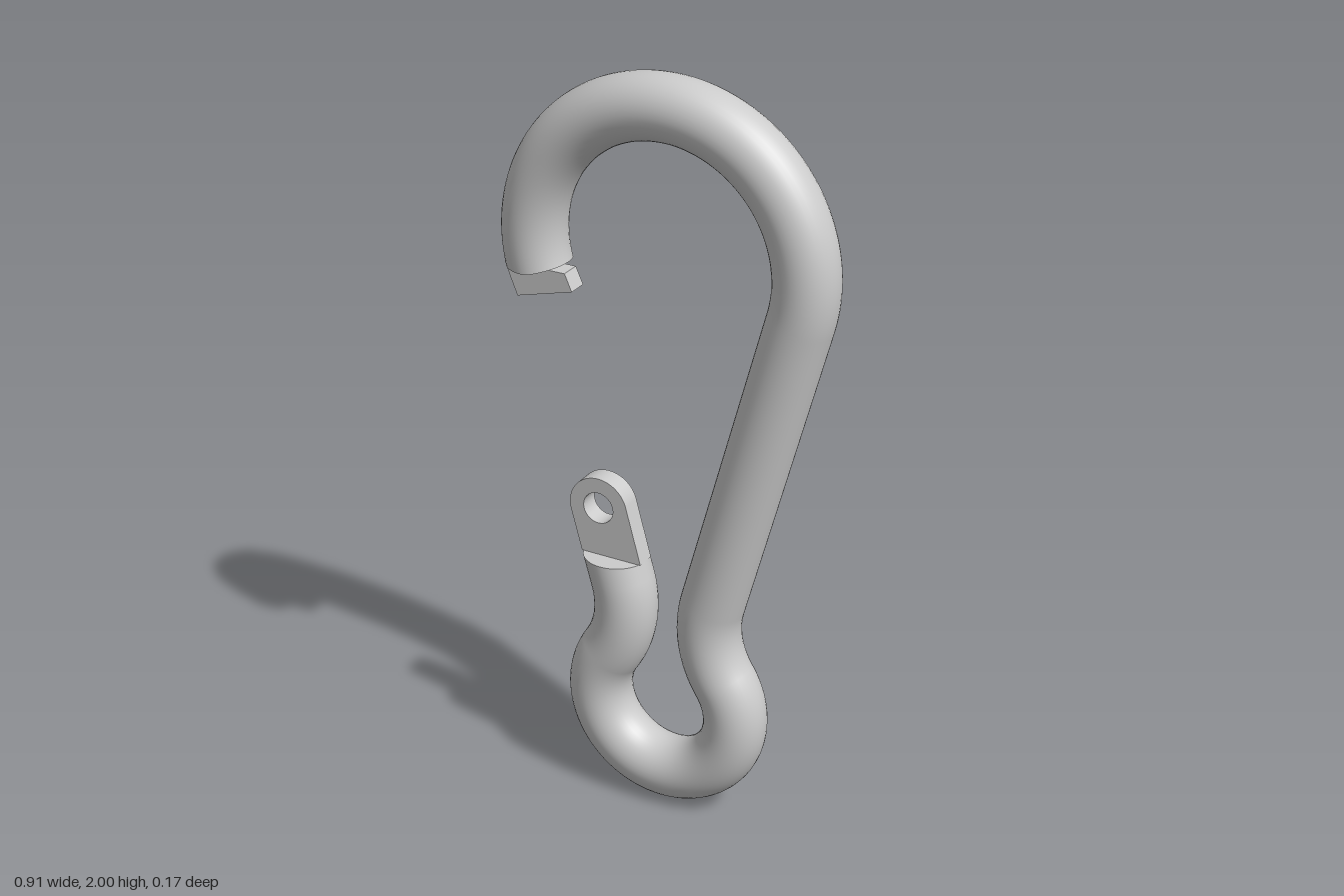
import * as THREE from 'three';

const R = 0.0835;            // rod radius
const PLATE = 0.055;         // thickness of the flattened ends
const rad = THREE.MathUtils.degToRad;
const TILT = rad(15);
const SIN = Math.sin(TILT), COS = Math.cos(TILT);
const HOOK_CUT = 1.45, EYE_CUT = 0.685;   // heights of the flat shoulders

const hookEnd = new THREE.Vector2(-0.359, HOOK_CUT);
const eyeCentre = new THREE.Vector2(-0.187, 0.82);

// Lifts a planar path into 3D for sweeping
class FlatCurve extends THREE.Curve {
  constructor(path) { super(); this.path = path; this.arcLengthDivisions = 1000; }
  getPoint(t, target = new THREE.Vector3()) {
    const p = this.path.getPoint(t);
    return target.set(p.x, p.y, 0);
  }
}

// Centre line: hook, slanted shank, neck, bottom loop, neck, eye leg
function rodPath() {
  const p = new THREE.Path();
  p.moveTo(hookEnd.x + SIN * 0.03, hookEnd.y - COS * 0.03);
  p.absarc(0, 1.545, 0.372, rad(195), rad(-15), true);
  p.absarc(0.394, 0.545, 0.272, rad(165), rad(213.4), false);
  p.absarc(0, 0.285, 0.2, rad(33.4), rad(146.6), true);
  p.absarc(-0.394, 0.545, 0.272, rad(-33.4), rad(15), false);
  const past = EYE_CUT + 0.03;
  p.lineTo(eyeCentre.x - (past - eyeCentre.y) * SIN / COS, past);
  return p;
}

// Sweep the rod, then slide its ends along their axes onto the level shoulders
function rodGeometry() {
  const g = new THREE.TubeGeometry(new FlatCurve(rodPath()), 360, R, 36, false);
  const pos = g.attributes.position;
  for (let i = 0; i < pos.count; i++) {
    const x = pos.getX(i), y = pos.getY(i);
    if (x > 0) continue;
    const cut = y > 1 ? HOOK_CUT : EYE_CUT;
    const beyond = y > 1 ? y < cut : y > cut;
    if (beyond) pos.setXY(i, x - (cut - y) * SIN / COS, cut);
  }
  return g;
}

function plateGeometry(shape) {
  const g = new THREE.ExtrudeGeometry(shape, { depth: PLATE, bevelEnabled: false, curveSegments: 32 });
  return g.translate(0, 0, -PLATE / 2);
}

// Rounded lug with a through hole
function eyeShape() {
  const s = new THREE.Shape();
  const { x, y } = eyeCentre;
  const foot = side => {
    const ex = x + side * R * COS, ey = y + side * R * SIN;
    return [ex + (ey - EYE_CUT) * SIN / COS, EYE_CUT];
  };
  s.moveTo(...foot(-1));
  s.lineTo(...foot(1));
  s.absarc(x, y, R, TILT, TILT + Math.PI, false);
  s.closePath();
  const hole = new THREE.Path();
  hole.absarc(x, y, 0.043, 0, Math.PI * 2, true);
  s.holes.push(hole);
  return s;
}

// Short tongue ending square to the rod
function tongueShape() {
  return new THREE.Shape([
    [-0.446, HOOK_CUT], [-0.432, 1.412], [-0.412, 1.363], [-0.254, 1.405], [-0.274, HOOK_CUT],
  ].map(([x, y]) => new THREE.Vector2(x, y)));
}

export function createModel() {
  const group = new THREE.Group();
  group.name = 'snapHookBody';
  const material = new THREE.MeshStandardMaterial({ color: 0xcccccc });
  const add = (name, geometry) => {
    const mesh = new THREE.Mesh(geometry, material);
    mesh.name = name;
    group.add(mesh);
    return mesh;
  };

  add('bentRod', rodGeometry());
  add('eyeLug', plateGeometry(eyeShape()));
  add('hookTongue', plateGeometry(tongueShape()));

  // Level shoulders closing both rod ends
  const shoulder = (name, x, y, up) => {
    const g = new THREE.CircleGeometry(R, 36).scale(1 / COS, 1, 1);
    g.rotateX(up ? -Math.PI / 2 : Math.PI / 2);
    add(name, g.translate(x, y, 0));
  };
  shoulder('eyeShoulder', eyeCentre.x + (eyeCentre.y - EYE_CUT) * SIN / COS, EYE_CUT, true);
  shoulder('hookShoulder', hookEnd.x, HOOK_CUT, false);
  return group;
}
